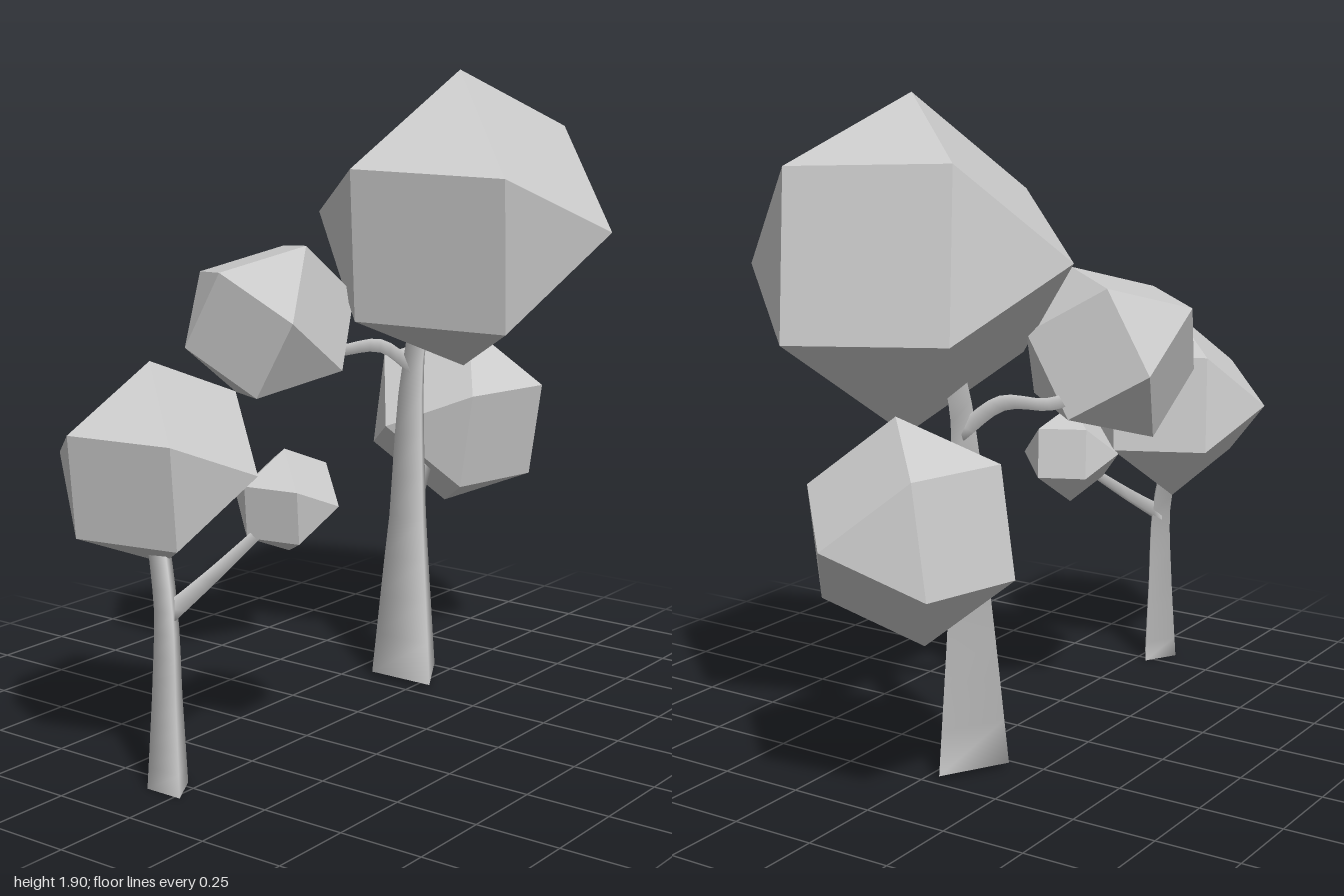
import * as THREE from 'three';
import { ConvexGeometry } from 'three/addons/geometries/ConvexGeometry.js';

const V = (a) => new THREE.Vector3(...a);

export function createModel() {
  const model = new THREE.Group();
  const bark = new THREE.MeshStandardMaterial({ color: 0xcccccc });
  const leaves = new THREE.MeshStandardMaterial({ color: 0xcccccc, flatShading: true });

  // Crown: cuboctahedron, corners at the sums of two of three perpendicular axes
  function crown(parent, name, center, size, uDir, vDir) {
    const u = V(uDir).normalize();
    const w = u.clone().cross(V(vDir)).normalize();
    const v = w.clone().cross(u);
    const axes = [u, v, w];
    const points = [];
    for (let i = 0; i < 3; i++) {
      for (const a of [-size, size]) for (const b of [-size, size]) {
        points.push(new THREE.Vector3()
          .addScaledVector(axes[i], a)
          .addScaledVector(axes[(i + 1) % 3], b));
      }
    }
    const mesh = new THREE.Mesh(new ConvexGeometry(points), leaves);
    mesh.name = name;
    mesh.position.set(...center);
    parent.add(mesh);
  }

  // Limb: smooth three-sided loft; stations are [x, y, z, radius]
  function limb(parent, name, stations, axis, ref) {
    const path = new THREE.CatmullRomCurve3(stations.map((s) => V(s.slice(0, 3))));
    const n = (stations.length - 1) * 4;
    const e1 = ref.clone().addScaledVector(axis, -ref.dot(axis)).normalize();
    const e2 = axis.clone().cross(e1);
    const pos = [], idx = [];
    const ring = (i) => {
      const t = i / n, f = t * (stations.length - 1);
      const k = Math.min(Math.floor(f), stations.length - 2);
      const r = THREE.MathUtils.lerp(stations[k][3], stations[k + 1][3], f - k);
      const c = path.getPoint(t);
      for (let j = 0; j < 3; j++) {
        const a = (j / 3) * Math.PI * 2;
        const p = c.clone()
          .addScaledVector(e1, r * Math.cos(a))
          .addScaledVector(e2, r * Math.sin(a));
        pos.push(p.x, p.y, p.z);
      }
    };
    for (let i = 0; i <= n; i++) ring(i);
    for (let i = 0; i < n; i++) for (let j = 0; j < 3; j++) {
      const a = i * 3 + j, b = i * 3 + ((j + 1) % 3);
      idx.push(a, b, b + 3, a, b + 3, a + 3);
    }
    // Flat caps with their own corners
    const s = pos.length / 3;
    ring(0);
    ring(n);
    idx.push(s, s + 2, s + 1, s + 3, s + 4, s + 5);

    const geo = new THREE.BufferGeometry();
    geo.setAttribute('position', new THREE.Float32BufferAttribute(pos, 3));
    geo.setIndex(idx);
    geo.computeVertexNormals();
    const mesh = new THREE.Mesh(geo, bark);
    mesh.name = name;
    parent.add(mesh);
  }

  const X = V([1, 0, 0]), Y = V([0, 1, 0]);
  const trunk = (parent, stations) => limb(parent, 'trunk', stations, Y, X);
  const branch = (parent, name, stations) => {
    const axis = V(stations.at(-1)).sub(V(stations[0])).normalize();
    limb(parent, name, stations, axis, Y);
  };

  // Orientation shared by three of the crowns
  const tiltU = [0.0265, 0.219, 0.242], tiltV = [0.3125, 0.0615, -0.0875];

  // Large tree
  const large = new THREE.Group();
  large.name = 'largeTree';
  model.add(large);
  trunk(large, [
    [0.356, 0.015, -0.05, 0.127],
    [0.352, 0.53, -0.048, 0.073],
    [0.365, 1.02, -0.045, 0.042],
    [0.385, 1.2, -0.02, 0.036],
  ]);
  branch(large, 'upperBranch', [
    [0.37, 0.98, -0.05, 0.03],
    [0.3, 1.06, -0.14, 0.026],
    [0.2, 1.05, -0.23, 0.022],
    [0.08, 1.07, -0.28, 0.02],
  ]);
  branch(large, 'lowerBranch', [
    [0.355, 0.5, -0.06, 0.042],
    [0.45, 0.6, -0.1, 0.03],
    [0.6, 0.7, -0.15, 0.022],
  ]);
  crown(large, 'mainCrown', [0.428, 1.449, 0.075], 0.328, tiltU, tiltV);
  crown(large, 'rightCrown', [0.707, 0.79, -0.123], 0.215,
    [-0.05, -0.04, 0.206], [-0.1575, 0.15, -0.009]);
  crown(large, 'backCrown', [-0.045, 1.171, -0.29], 0.191,
    [0.024, 0.0465, 0.1775], [-0.029, 0.1865, -0.0475]);

  // Small tree
  const small = new THREE.Group();
  small.name = 'smallTree';
  model.add(small);
  trunk(small, [
    [-0.792, 0, -0.04, 0.067],
    [-0.792, 0.25, -0.04, 0.05],
    [-0.788, 0.5, -0.045, 0.038],
    [-0.76, 0.72, -0.1, 0.035],
  ]);
  branch(small, 'sideBranch', [
    [-0.79, 0.49, -0.045, 0.03],
    [-0.66, 0.575, 0.0, 0.023],
    [-0.48, 0.7, 0.06, 0.015],
  ]);
  crown(small, 'mainCrown', [-0.7325, 0.88, -0.125], 0.207, tiltU, tiltV);
  crown(small, 'sideCrown', [-0.433, 0.752, 0.078], 0.108, tiltU, tiltV);

  return model;
}
